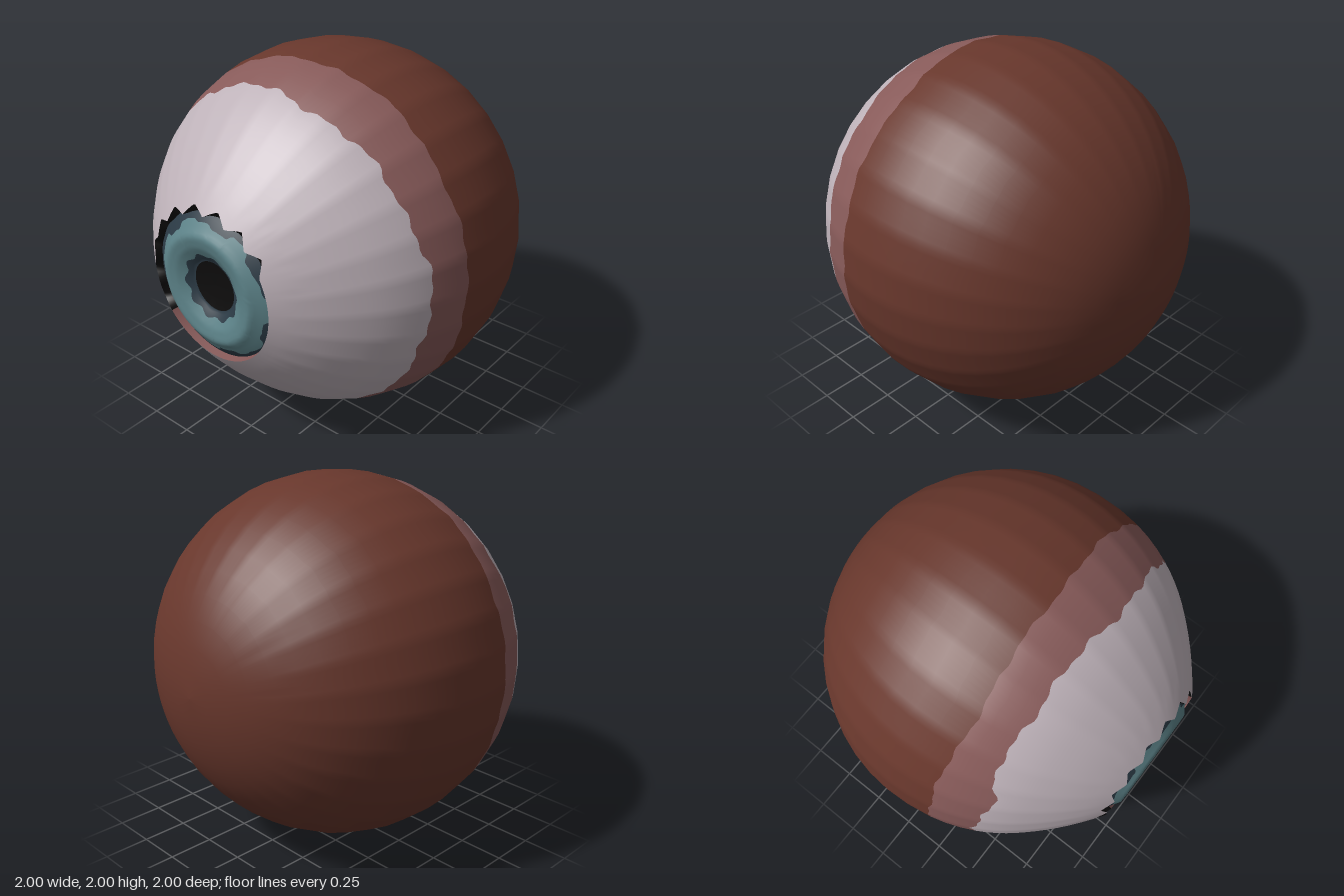
import * as THREE from 'three';

const SEGMENTS = 192;
const SIDES = 32;

const paint = (name, color) => {
  const m = new THREE.MeshStandardMaterial({ color });
  m.name = name;
  return m;
};

// Ragged border: a sum of whole-number waves, so it closes around the circle
const ragged = (a, seed) =>
  0.4 * Math.sin(3 * a + seed) + 0.25 * Math.sin(8 * a + seed * 2.3) +
  0.2 * Math.sin(19 * a + seed * 3.1) + 0.15 * Math.sin(43 * a + seed * 1.7);

// Gives the round outline its slightly faceted silhouette
const facet = (a) => {
  const step = (2 * Math.PI) / SIDES;
  const t = ((a % step) + step) % step;
  return Math.cos(step / 2) / Math.cos(t - step / 2);
};

// Skin closed rings around the z axis; point(a, row) gives [radius, z].
// bands lists how many rows of faces each material covers.
function ringSkin(name, point, bands, materials) {
  const rows = bands.reduce((sum, n) => sum + n, 0);
  const positions = [];
  const index = [];
  const g = new THREE.BufferGeometry();
  for (let j = 0; j <= rows; j++) {
    for (let i = 0; i < SEGMENTS; i++) {
      const a = (i / SEGMENTS) * 2 * Math.PI;
      const [r, z] = point(a, j);
      positions.push(r * Math.cos(a), 1 + r * Math.sin(a), z);
    }
  }
  for (let j = 0; j < rows; j++) {
    for (let i = 0; i < SEGMENTS; i++) {
      const k = (i + 1) % SEGMENTS;
      const p = j * SEGMENTS, q = p + SEGMENTS;
      index.push(p + i, p + k, q + k, p + i, q + k, q + i);
    }
  }
  g.setAttribute('position', new THREE.Float32BufferAttribute(positions, 3));
  g.setIndex(index);
  g.computeVertexNormals();
  let start = 0;
  bands.forEach((n, m) => {
    g.addGroup(start, n * SEGMENTS * 6, m);
    start += n * SEGMENTS * 6;
  });
  const mesh = new THREE.Mesh(g, materials);
  mesh.name = name;
  return mesh;
}

// Torn teeth run over the top and left of the opening only
const TORN_FROM = 0.5, TORN_TO = 3.8, TEETH = 9;
const isTorn = (a) => a > TORN_FROM && a < TORN_TO;
function rimRadius(a) {
  if (!isTorn(a)) return 0.39;
  const t = (((a - TORN_FROM) / (TORN_TO - TORN_FROM)) * TEETH) % 1;
  return 0.388 + 0.045 * (1 - Math.abs(2 * t - 1));
}

// Sphere that swells forward around the opening
function ballPoint(phi, a) {
  const r = Math.sin(phi);
  let z = Math.cos(phi);
  if (z > 0) z += 0.055 * Math.pow(THREE.MathUtils.clamp(1 - (r - 0.39) / 0.35, 0, 1), 1.5);
  return [r * (r > 0.5 ? facet(a) : 1), z];
}

export function createModel() {
  const model = new THREE.Group();
  model.name = 'eyeball';

  const white = paint('eye white', 0xbdb1b8);
  const pink = paint('flesh pink', 0x875a59);
  const brown = paint('muscle brown', 0x68372c);
  const teal = paint('iris teal', 0x5c8288);
  const navy = paint('iris dark blue', 0x2b3a45);
  const black = paint('pupil black', 0x0e0d0d);

  // Ball: brown back, pink band, white front with ragged borders
  const ballBands = [14, 3, 12];
  const ball = ringSkin('ball', (a, j) => {
    const pinkStart = Math.acos(0.22 - 0.03 * Math.cos(a) + 0.02 * Math.sin(a) + 0.03 * ragged(a, 1.2));
    const whiteStart = Math.acos(
      0.445 - 0.015 * Math.cos(a) + 0.03 * Math.sin(a) + 0.045 * ragged(a, 4.4) +
      0.05 * Math.exp(-Math.pow((a - 2.65) / 0.2, 2)));
    const rim = Math.asin(rimRadius(a));
    const stops = [Math.PI, pinkStart, whiteStart, rim];
    let band = 0, row = j;
    while (band < 2 && row > ballBands[band]) row -= ballBands[band++];
    return ballPoint(THREE.MathUtils.lerp(stops[band], stops[band + 1], row / ballBands[band]), a);
  }, ballBands, [brown, pink, white]);
  model.add(ball);

  // Inner wall of the opening: black where torn, pink elsewhere
  const wall = ringSkin('openingWall', (a, j) => {
    const [r, z] = ballPoint(Math.asin(rimRadius(a)), a);
    return j === 0 ? [r, z] : [0.383, 0.925];
  }, [1], [pink, black]);
  wall.geometry.clearGroups();
  const tornStart = Math.floor((TORN_FROM / (2 * Math.PI)) * SEGMENTS);
  const tornEnd = Math.ceil((TORN_TO / (2 * Math.PI)) * SEGMENTS);
  wall.geometry.addGroup(0, tornStart * 6, 0);
  wall.geometry.addGroup(tornStart * 6, (tornEnd - tornStart) * 6, 1);
  wall.geometry.addGroup(tornEnd * 6, (SEGMENTS - tornEnd) * 6, 0);
  model.add(wall);

  // Iris: raised ring sloping down to the rim and to the pupil
  const profile = [
    [0, 0.93], [0.13, 0.94], [0.17, 0.965], [0.22, 0.99], [0.27, 1.0],
    [0.29, 0.998], [0.315, 0.98], [0.36, 0.952], [0.392, 0.93],
  ];
  const irisHeight = (r) => {
    let k = 1;
    while (k < profile.length - 1 && profile[k][0] < r) k++;
    const [r0, z0] = profile[k - 1], [r1, z1] = profile[k];
    return z0 + ((z1 - z0) * (r - r0)) / (r1 - r0);
  };
  const irisBands = [3, 12, 3, 2];
  const iris = ringSkin('iris', (a, j) => {
    const patch = Math.tanh(3 * (Math.sin(7 * a + 1) + 0.7 * Math.sin(12 * a + 2.2)));
    const outer = 0.348 + 0.014 * patch + 0.012 * Math.cos(a) + 0.006 * ragged(a, 2.7);
    const inner = 0.174 + 0.009 * Math.sin(10 * a + 0.6);
    const stops = [0.392, outer, inner, 0.133, 0];
    let band = 0, row = j;
    while (band < 3 && row > irisBands[band]) row -= irisBands[band++];
    const r = THREE.MathUtils.lerp(stops[band], stops[band + 1], row / irisBands[band]);
    return [r, irisHeight(r)];
  }, irisBands, [navy, teal, navy, black]);
  model.add(iris);

  return model;
}
